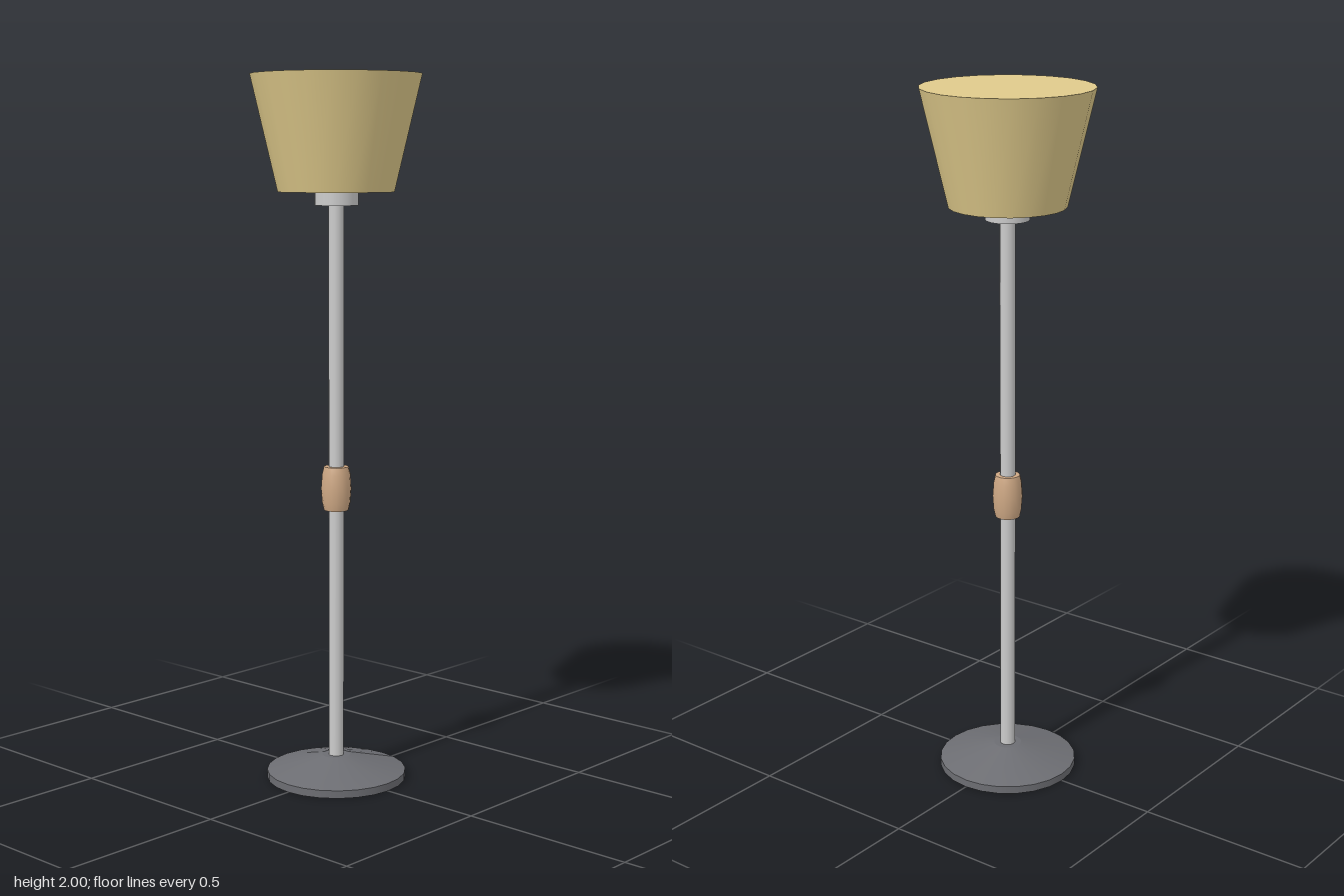
import * as THREE from 'three';

const mat = (color) => new THREE.MeshStandardMaterial({ color });

export function createModel() {
  const lamp = new THREE.Group();
  lamp.name = 'floorLamp';

  const metal = mat(0xcccccc);
  const add = (name, geometry, material, y = 0) => {
    const mesh = new THREE.Mesh(geometry, material);
    mesh.name = name;
    mesh.position.y = y;
    lamp.add(mesh);
  };
  // Round part between two heights, with a corner on the x axis
  const round = (name, rBottom, rTop, y0, y1, sides, material) => {
    const g = new THREE.CylinderGeometry(rTop, rBottom, y1 - y0, sides).rotateY(Math.PI / 2);
    add(name, g, material, (y0 + y1) / 2);
  };

  // Weighted foot: thin rim with a shallow cone above
  const iron = mat(0x6c6d72);
  round('baseRim', 0.2, 0.2, 0, 0.022, 24, iron);
  round('baseCone', 0.2, 0.04, 0.022, 0.065, 24, iron);

  // Pole and the collar that carries the shade
  round('pole', 0.022, 0.022, 0.06, 1.66, 12, metal);
  round('shadeCollar', 0.061, 0.061, 1.641, 1.68, 18, metal);

  // Barrel-shaped wooden grip, closed at both ends
  const bulge = [[0.035, 0.783], [0.04, 0.805], [0.043, 0.845], [0.04, 0.886], [0.035, 0.908]]
    .map(([r, y]) => new THREE.Vector2(r, y));
  const wood = mat(0xcfa985);
  add('grip', new THREE.LatheGeometry(bulge, 16), wood);
  round('gripBottom', 0.035, 0.035, 0.783, 0.786, 16, wood);
  round('gripTop', 0.035, 0.035, 0.905, 0.908, 16, wood);

  // Closed tapered shade
  round('shade', 0.163, 0.239, 1.678, 2, 22, mat(0xdfca8b));

  return lamp;
}
